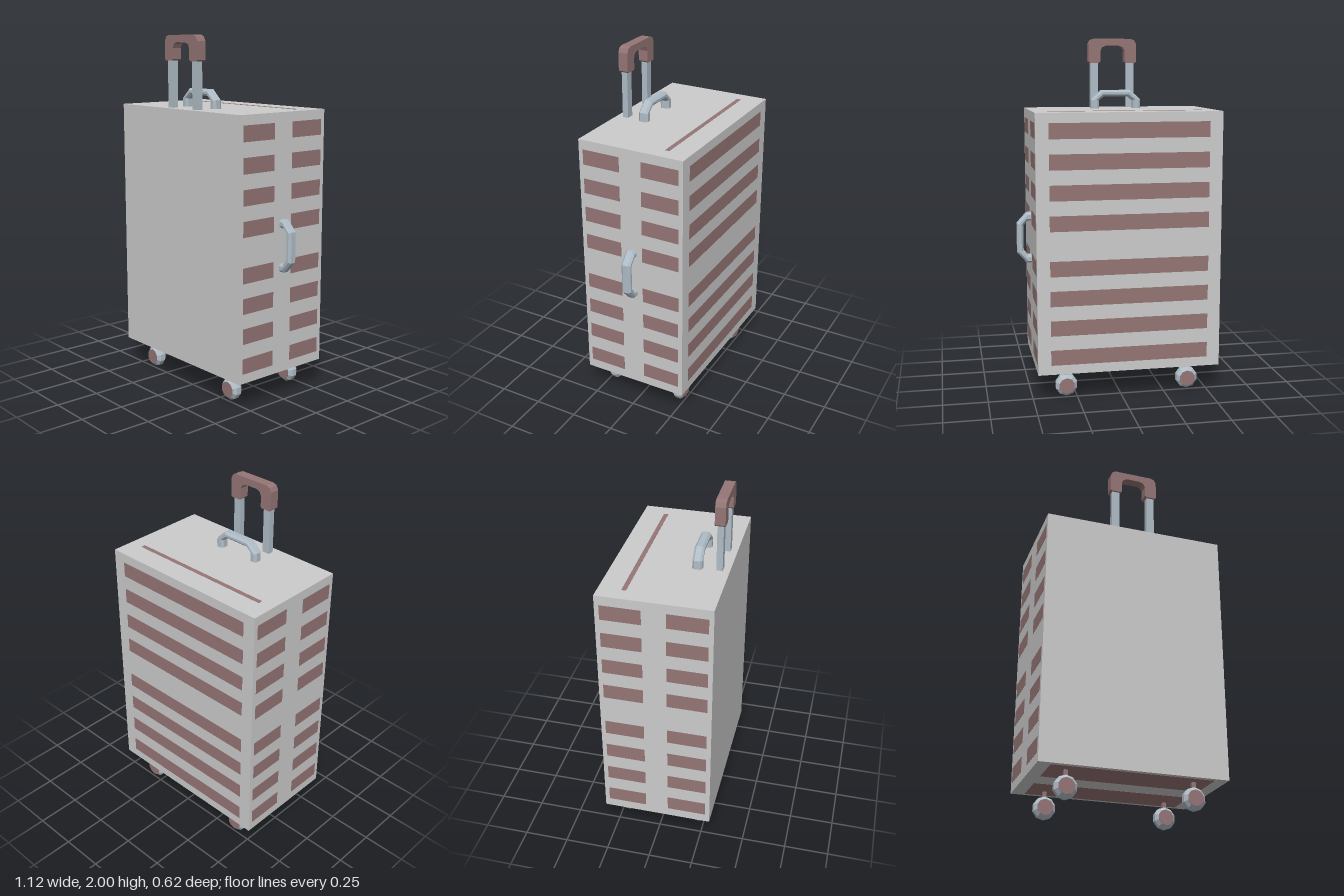
import * as THREE from 'three';

const grey = new THREE.MeshStandardMaterial({ color: 0xcccccc, flatShading: true });
const brown = new THREE.MeshStandardMaterial({ color: 0x957575, flatShading: true });
const steel = new THREE.MeshStandardMaterial({ color: 0xafbcc6, flatShading: true });

const CX = -0.0425, W = 1.035, D = 0.62, Y0 = 0.155, Y1 = 1.6;

function add(parent, name, geometry, material, x = 0, y = 0, z = 0) {
  const mesh = new THREE.Mesh(geometry, material);
  mesh.name = name;
  mesh.position.set(x, y, z);
  parent.add(mesh);
  return mesh;
}
const box = (w, h, d) => new THREE.BoxGeometry(w, h, d);

// Extrudes half an outline, mirrored in x and centred in z
function mirroredExtrude(half, depth, bevel) {
  const all = [...half, ...half.map(([x, y]) => [-x, y]).reverse()];
  const shape = new THREE.Shape(all.map(([x, y]) => new THREE.Vector2(x, y)));
  const geometry = new THREE.ExtrudeGeometry(shape, {
    depth: depth - 2 * bevel, bevelEnabled: bevel > 0, bevelSegments: 1,
    bevelThickness: bevel, bevelSize: bevel, bevelOffset: -bevel, curveSegments: 1,
  });
  return geometry.translate(0, 0, bevel - depth / 2);
}

// Bevelled carrying handle standing on y = 0, as tall as h
function carryHandle(h) {
  return mirroredExtrude([
    [0, h], [0.085, h], [0.145, h - 0.055], [0.147, -0.03],
    [0.099, -0.03], [0.099, h - 0.06], [0.07, h - 0.037], [0, h - 0.037],
  ].filter(([x]) => x > 0), 0.055, 0.012);
}

export function createModel() {
  const group = new THREE.Group();

  add(group, 'body', box(W, Y1 - Y0, D), grey, CX, (Y0 + Y1) / 2, 0);

  // Ribs: eight rows on the back, two columns of eight on each side
  const ribs = new THREE.Group();
  ribs.name = 'ribs';
  group.add(ribs);
  for (const s of [-1, 1]) {
    for (let i = 0; i < 4; i++) {
      const y = 0.877 + s * (0.125 + i * 0.167);
      add(ribs, 'backRib', box(0.89, 0.086, 0.002), brown, CX, y, -D / 2);
      for (const side of [-1, 1]) {
        add(ribs, 'sideRib', box(0.002, 0.086, 0.22), brown, CX + side * W / 2, y, s * 0.175);
        add(ribs, 'sideRib', box(0.002, 0.086, 0.22), brown, CX + side * W / 2, y, -s * 0.175);
      }
    }
    add(ribs, 'bottomPanel', box(0.89, 0.002, 0.22), brown, CX, Y0, s * 0.175);
  }
  add(ribs, 'topRib', box(0.87, 0.002, 0.025), brown, CX, Y1, -0.175);

  // Pull handle: two rods and an arched grip
  for (const s of [-1, 1]) {
    add(group, 'pullRod', box(0.045, 0.3, 0.034), steel, CX + s * 0.107, 1.73, 0.255);
  }
  add(group, 'pullGrip', mirroredExtrude([
    [0.108, 0.14], [0.13, 0.132], [0.142, 0.108], [0.142, 0.008], [0.134, 0],
    [0.08, 0], [0.072, 0.008], [0.072, 0.068], [0.062, 0.09], [0.038, 0.1],
  ], 0.056, 0), brown, CX, 1.86, 0.254);

  // Carrying handles on the top and the left side
  add(group, 'topHandle', carryHandle(0.105), steel, CX, Y1, 0.138);
  add(group, 'sideHandle', carryHandle(0.081), steel, CX + W / 2, 0.877, -0.004)
    .rotation.z = -Math.PI / 2;

  // Four wheels with hub discs and stems
  const profile = [[0, -0.033], [0.045, -0.033], [0.063, -0.014], [0.063, 0.014], [0.045, 0.033], [0, 0.033]]
    .map(([r, y]) => new THREE.Vector2(r, y));
  const wheelGeometry = new THREE.LatheGeometry(profile, 10).rotateX(Math.PI / 2);
  const hubGeometry = new THREE.CylinderGeometry(0.045, 0.045, 0.07, 10).rotateX(Math.PI / 2);
  for (const x of [CX - 0.35, CX + 0.35]) {
    for (const z of [-0.216, 0.216]) {
      const wheel = new THREE.Group();
      wheel.name = 'wheel';
      wheel.position.set(x, 0.063, z);
      group.add(wheel);
      add(wheel, 'tyre', wheelGeometry, steel);
      add(wheel, 'hub', hubGeometry, brown);
      add(wheel, 'stem', box(0.022, 0.06, 0.022), brown, 0, 0.065, 0);
    }
  }
  return group;
}
